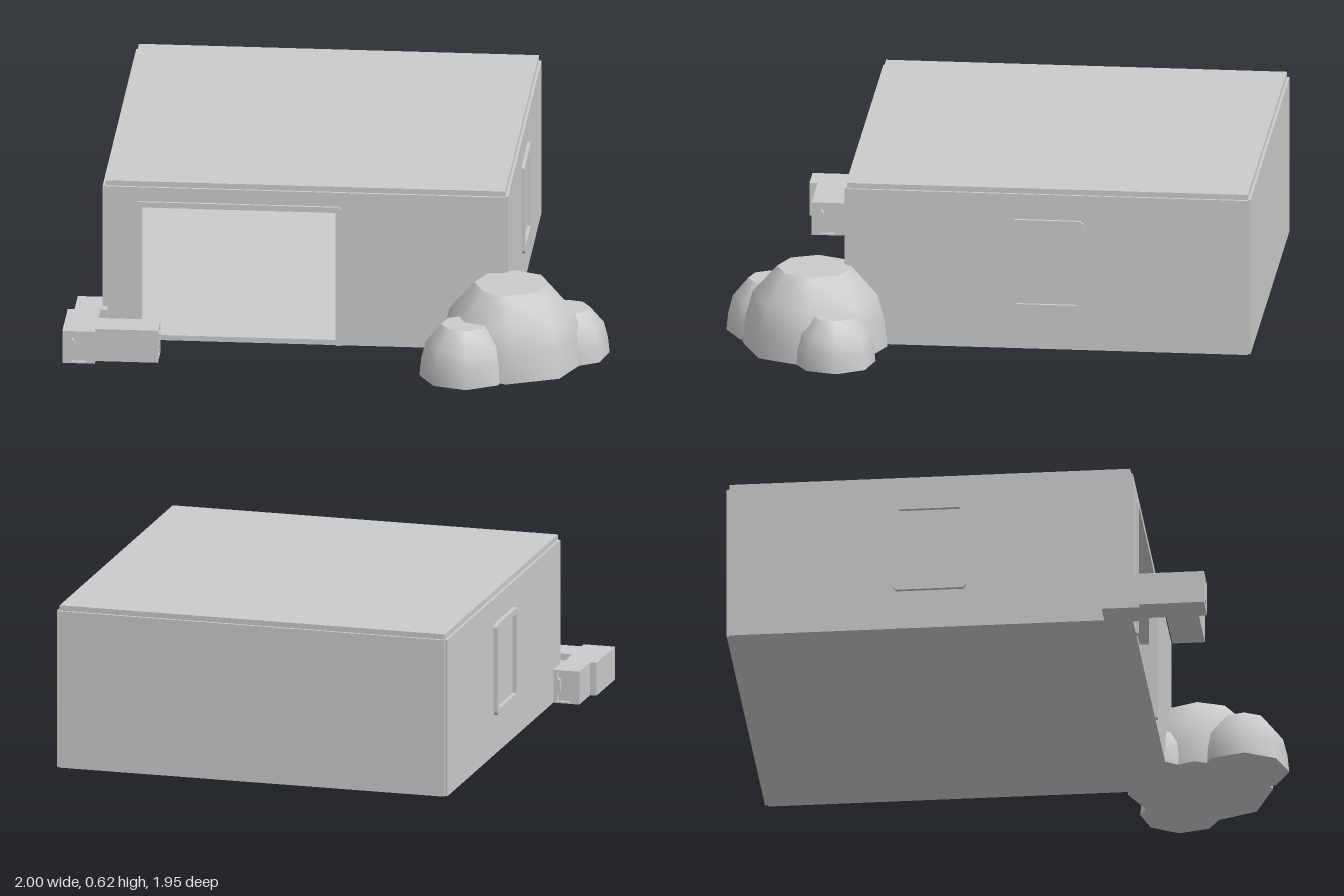
import * as THREE from 'three';
import { toCreasedNormals } from 'three/addons/utils/BufferGeometryUtils.js';

const mat = new THREE.MeshStandardMaterial({ color: 0xcccccc });

function add(parent, name, geometry) {
  const mesh = new THREE.Mesh(geometry, mat);
  mesh.name = name;
  parent.add(mesh);
  return mesh;
}

// Box given by its lower and upper limits
function slab(parent, name, [x0, x1], [y0, y1], [z0, z1]) {
  const mesh = add(parent, name, new THREE.BoxGeometry(x1 - x0, y1 - y0, z1 - z0));
  mesh.position.set((x0 + x1) / 2, (y0 + y1) / 2, (z0 + z1) / 2);
  return mesh;
}

function polygon(points, Type = THREE.Shape) {
  return new Type(points.map(([x, y]) => new THREE.Vector2(x, y)));
}

function rectangle(x0, x1, y0, y1, Type) {
  return polygon([[x0, y0], [x1, y0], [x1, y1], [x0, y1]], Type);
}

function extrude(shape, depth) {
  return new THREE.ExtrudeGeometry(shape, { depth, bevelEnabled: false });
}

// Window frame lying in the xy plane, with clipped corners and a stepped inner rim
function windowFrame(parent, name, x, turn) {
  const frame = new THREE.Group();
  frame.name = name;
  const w = 0.135, h = 0.174, c = 0.012;
  const outer = polygon([
    [-w + c, -h], [w - c, -h], [w, -h + c], [w, h - c],
    [w - c, h], [-w + c, h], [-w, h - c], [-w, -h + c],
  ]);
  outer.holes.push(rectangle(-0.112, 0.112, -0.151, 0.151, THREE.Path));
  add(frame, 'windowRim', extrude(outer, 0.022));
  frame.position.set(x, 0.325, -0.225);
  frame.rotation.y = turn;
  parent.add(frame);
}

// Building block with an I-shaped recess in both ends, running along z
function block(parent, x, z, length, turn = 0) {
  const group = new THREE.Group();
  group.name = 'buildingBlock';
  const w = 0.06, h = 0.125, cap = 0.015;
  slab(group, 'blockCore', [-w, w], [0, h], [-length / 2 + cap, length / 2 - cap]);
  const face = rectangle(-w, w, 0, h);
  face.holes.push(polygon([
    [-0.025, 0.006], [0.025, 0.006], [0.025, 0.03], [0.015, 0.04],
    [0.015, 0.085], [0.025, 0.095], [0.025, 0.119], [-0.025, 0.119],
    [-0.025, 0.095], [-0.015, 0.085], [-0.015, 0.04], [-0.025, 0.03],
  ], THREE.Path));
  for (const start of [-length / 2, length / 2 - cap]) {
    add(group, 'blockEnd', extrude(face, cap)).position.z = start;
  }
  group.position.set(x, 0, z);
  group.rotation.y = turn;
  parent.add(group);
}

// Eight-sided dome with a flat top, standing on the ground
function rock(parent, name, x, z, radius, height, turn) {
  const profile = [[0, 0], [1, 0], [0.96, 0.33], [0.86, 0.66], [0.52, 1], [0, 1]]
    .map(([r, y]) => new THREE.Vector2(r * radius, y * height));
  const geometry = toCreasedNormals(new THREE.LatheGeometry(profile, 8), 0.82);
  const mesh = add(parent, name, geometry);
  mesh.position.set(x, 0, z);
  mesh.rotation.y = turn;
}

export function createModel() {
  const model = new THREE.Group();
  model.name = 'garage';

  // Hollow shell, with each face standing a little proud of the corners
  const house = new THREE.Group();
  house.name = 'house';
  model.add(house);
  const X = [-0.865, 0.61], Z = [-0.965, 0.515], wallY = [0, 0.595];
  slab(house, 'floor', X, [0, 0.02], Z);
  slab(house, 'roof', X, [0.585, 0.615], Z);
  slab(house, 'rightWall', [-0.875, -0.852], wallY, Z);
  slab(house, 'leftWall', [0.597, 0.62], wallY, Z);
  slab(house, 'backWall', X, wallY, [-0.975, -0.952]);

  // Front wall with the doorway
  const front = rectangle(X[0], X[1], 0, 0.595);
  front.holes.push(rectangle(-0.73, -0.015, 0.02, 0.52, THREE.Path));
  add(house, 'frontWall', extrude(front, 0.023)).position.z = 0.502;

  // Door frame, open at the bottom
  const doorFrame = polygon([
    [-0.755, 0], [-0.73, 0], [-0.73, 0.52], [-0.015, 0.52], [-0.015, 0],
    [0.005, 0], [0.005, 0.532], [-0.004, 0.541], [-0.746, 0.541], [-0.755, 0.532],
  ]);
  add(house, 'doorFrame', extrude(doorFrame, 0.025)).position.z = 0.51;

  windowFrame(house, 'leftWindow', 0.61, Math.PI / 2);
  windowFrame(house, 'rightWindow', -0.868, -Math.PI / 2);

  // Stacked-up blocks beside the door
  const blocks = new THREE.Group();
  blocks.name = 'blocks';
  model.add(blocks);
  block(blocks, -0.94, 0.68, 0.24);
  block(blocks, -0.915, 0.49, 0.14);
  block(blocks, -0.765, 0.71, 0.23, Math.PI / 2);

  // Rocks at the other front corner
  const rocks = new THREE.Group();
  rocks.name = 'rocks';
  model.add(rocks);
  rock(rocks, 'bigRock', 0.645, 0.63, 0.268, 0.3, 0);
  rock(rocks, 'frontRock', 0.485, 0.805, 0.167, 0.2, 0.1);
  rock(rocks, 'sideRock', 0.845, 0.54, 0.152, 0.18, 0.15);
  rock(rocks, 'smallRock', 0.47, 0.49, 0.11, 0.15, 0.2);

  return model;
}
